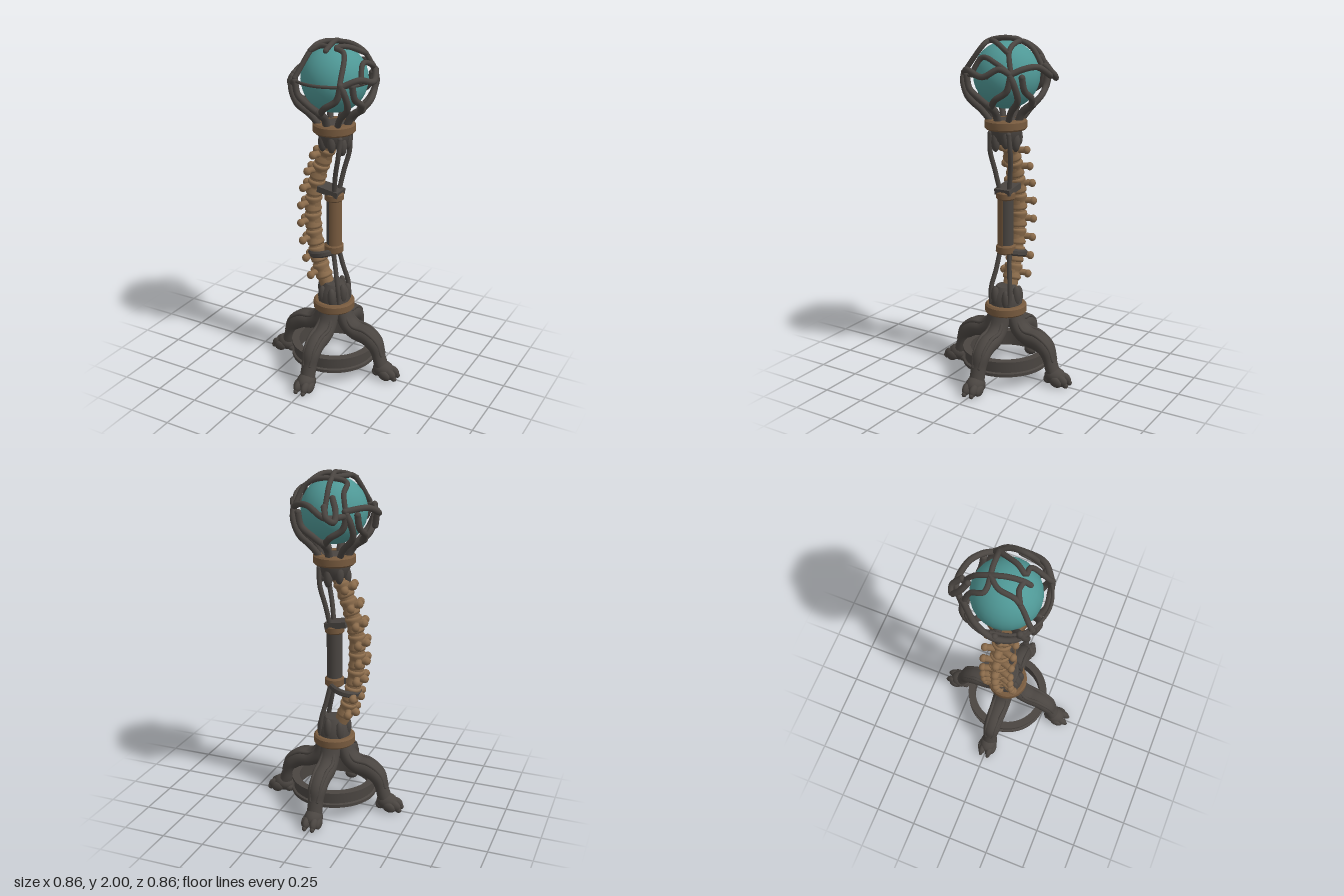
import * as THREE from 'three';
import { toCreasedNormals } from 'three/addons/utils/BufferGeometryUtils.js';

const mat = (name, color) => Object.assign(new THREE.MeshStandardMaterial({ color }), { name });
const V = (x, y, z) => new THREE.Vector3(x, y, z);
const rad = THREE.MathUtils.degToRad;
const ORB_Y = 1.78;

export function createModel() {
  const root = new THREE.Group();
  root.name = 'orbStand';
  const iron = mat('dark iron', 0x4a4541);
  const bone = mat('bone', 0x8a6b4b);
  const leather = mat('leather', 0x775a3e);
  const glass = mat('teal glass', 0x4f9896);

  const add = (parent, name, geo, m, x = 0, y = 0, z = 0) => {
    const mesh = new THREE.Mesh(geo, m);
    mesh.name = name;
    mesh.position.set(x, y, z);
    parent.add(mesh);
    return mesh;
  };
  const group = (name, parent = root) => {
    const g = new THREE.Group();
    g.name = name;
    parent.add(g);
    return g;
  };
  const lathe = (pts, seg = 32) => toCreasedNormals(
    new THREE.LatheGeometry(pts.map(p => new THREE.Vector2(...p)), seg), 0.7);
  // Closed band with rounded outer edges
  const band = (ri, ro, h) => lathe([[ri, -h / 2], [ro - 0.01, -h / 2], [ro, -h / 2 + 0.01],
    [ro, h / 2 - 0.01], [ro - 0.01, h / 2], [ri, h / 2], [ri, -h / 2]]);
  const ball = (parent, name, m, pos, scale) => {
    const b = add(parent, name, new THREE.SphereGeometry(1, 16, 12), m, ...pos);
    b.scale.set(...scale);
    return b;
  };
  // Round rod with rounded ends
  const rod = (parent, name, pts, r, m) => {
    add(parent, name, new THREE.TubeGeometry(new THREE.CatmullRomCurve3(pts), pts.length * 8, r, 9), m);
    for (const p of [pts[0], pts[pts.length - 1]]) ball(parent, name + 'End', m, p.toArray(), [r, r, r]);
  };
  // Sweep of oval sections in the xy plane; rows are [x, y, halfWidth, halfDepth]
  const sweep = (rows, steps = 36, seg = 18) => {
    const path = new THREE.CatmullRomCurve3(rows.map(r => V(r[0], r[1], 0)));
    const size = new THREE.CatmullRomCurve3(rows.map(r => V(r[2], r[3], 0)));
    const pos = [], idx = [], side = V(0, 0, 1);
    for (let i = 0; i <= steps; i++) {
      const u = i / steps, c = path.getPoint(u), s = size.getPoint(u);
      const n = path.getTangent(u).cross(side);
      for (let j = 0; j < seg; j++) {
        const a = j / seg * Math.PI * 2;
        const p = c.clone().addScaledVector(side, s.x * Math.cos(a)).addScaledVector(n, s.y * Math.sin(a));
        pos.push(p.x, p.y, p.z);
        if (i < steps) {
          const k = (j + 1) % seg, A = i * seg, B = A + seg;
          idx.push(A + j, A + k, B + k, A + j, B + k, B + j);
        }
      }
    }
    const g = new THREE.BufferGeometry();
    g.setAttribute('position', new THREE.Float32BufferAttribute(pos, 3));
    g.setIndex(idx);
    g.computeVertexNormals();
    return g;
  };

  // Four clawed legs
  const legGeo = sweep([[0.05, 0.45, 0.05, 0.04], [0.065, 0.37, 0.06, 0.042], [0.095, 0.3, 0.06, 0.05],
    [0.15, 0.26, 0.058, 0.054], [0.22, 0.245, 0.056, 0.056], [0.275, 0.205, 0.054, 0.05],
    [0.3, 0.14, 0.045, 0.038], [0.315, 0.09, 0.045, 0.04], [0.335, 0.045, 0.045, 0.035]]);
  for (let k = 0; k < 4; k++) {
    const leg = group('leg');
    leg.rotation.y = k * Math.PI / 2;
    add(leg, 'legShaft', legGeo, iron);
    ball(leg, 'paw', iron, [0.335, 0.052, 0], [0.065, 0.05, 0.054]);
    ball(leg, 'heel', iron, [0.295, 0.03, 0], [0.03, 0.03, 0.04]);
    for (const s of [-1, 1]) {
      ball(leg, 'innerToe', iron, [0.385, 0.04, s * 0.023], [0.042, 0.033, 0.023]).rotation.z = -0.35;
      ball(leg, 'outerToe', iron, [0.36, 0.034, s * 0.043], [0.04, 0.03, 0.018]).rotation.z = -0.3;
      ball(leg, 'claw', iron, [0.414, 0.019, s * 0.024], [0.018, 0.018, 0.013]);
      rod(leg, 'tendon', [V(0.09, 0.36, s * 0.03), V(0.14, 0.305, s * 0.04), V(0.22, 0.29, s * 0.036),
        V(0.295, 0.235, s * 0.03), V(0.325, 0.15, s * 0.02)], 0.011, iron);
    }
  }
  // Lipped ring tying the legs together
  add(root, 'baseRing', lathe([[0.21, 0.08], [0.255, 0.08], [0.255, 0.098], [0.243, 0.103], [0.243, 0.152],
    [0.255, 0.157], [0.255, 0.172], [0.21, 0.172], [0.21, 0.08]], 48), iron);

  // Collars and the lumpy sockets gripping the column
  add(root, 'lowerCollar', band(0.07, 0.122, 0.058), leather, 0, 0.415, 0);
  add(root, 'upperCollar', band(0.07, 0.12, 0.058), leather, 0, 1.507, 0);
  add(root, 'lowerSocket', lathe([[0, 0.34], [0.09, 0.37], [0.095, 0.45], [0.085, 0.51], [0.055, 0.55], [0, 0.555]]), iron);
  add(root, 'upperSocket', lathe([[0, 1.39], [0.06, 1.395], [0.08, 1.42], [0.092, 1.47], [0.09, 1.53], [0, 1.54]]), iron);
  for (let k = 0; k < 7; k++) {
    const a = k / 7 * Math.PI * 2 + 0.3, x = Math.sin(a), z = Math.cos(a), w = k % 2 * 0.02;
    ball(root, 'lowerSocketLump', iron, [x * 0.078, 0.48 + w, z * 0.078], [0.025, 0.06, 0.025]);
    ball(root, 'upperSocketLump', iron, [x * 0.072, 1.43 - w, z * 0.072], [0.025, 0.055, 0.025]);
  }

  // Curved backbone
  const spine = group('spine');
  const curve = new THREE.CatmullRomCurve3([V(-0.015, 1.43, 0), V(-0.055, 1.34, 0), V(-0.098, 1.22, 0),
    V(-0.128, 1.1, 0), V(-0.138, 0.98, 0), V(-0.133, 0.86, 0), V(-0.113, 0.74, 0), V(-0.08, 0.62, 0), V(-0.035, 0.5, 0)]);
  add(spine, 'spineCore', new THREE.TubeGeometry(curve, 60, 0.043, 14), bone);
  const body = new THREE.LatheGeometry([[0.03, -0.05], [0.053, -0.044], [0.056, -0.03], [0.045, -0.008],
    [0.045, 0.008], [0.056, 0.03], [0.053, 0.044], [0.03, 0.05]].map(p => new THREE.Vector2(...p)), 18);
  for (let i = 0; i < 8; i++) {
    const u = (1.435 - (1.335 - 0.103 * i)) / 0.94;
    const t = curve.getTangentAt(u).negate();
    const v = group('vertebra', spine);
    v.position.copy(curve.getPointAt(u));
    v.rotation.z = Math.atan2(-t.x, t.y);
    add(v, 'vertebraBody', body, bone).scale.x = 0.88;
    rod(v, 'backProcess', [V(-0.02, 0, 0), V(-0.045, 0.002, 0), V(-0.058, 0, 0)], 0.024, bone);
    for (const s of [-1, 1]) {
      rod(v, 'sideProcess', [V(-0.02, 0, s * 0.03), V(-0.03, 0.003, s * 0.06), V(-0.035, 0, s * 0.08)], 0.019, bone);
      ball(v, 'processKnob', bone, [-0.036, 0, s * 0.083], [0.023, 0.024, 0.021]);
    }
  }

  // Splint: iron pipe with a strip of leather on its front left
  const pipe = (from, len, r) => new THREE.CylinderGeometry(r, r, 0.36, 20, 1, false, from, len);
  add(root, 'splintPipe', pipe(0, Math.PI * 2, 0.045), iron, 0, 0.94, 0);
  add(root, 'splintStrip', pipe(rad(-10), rad(110), 0.048), leather, 0, 0.94, 0);
  add(root, 'upperPipeBand', band(0.03, 0.056, 0.05), leather, 0, 1.095, 0);
  add(root, 'lowerPipeBand', band(0.03, 0.056, 0.055), leather, 0, 0.775, 0);
  add(root, 'upperBracket', new THREE.BoxGeometry(0.13, 0.035, 0.1), iron, -0.02, 1.128, 0).rotation.z = -0.16;
  const strap = add(root, 'lowerStrap', band(0.085, 0.1, 0.04), iron, -0.065, 0.742, 0);
  strap.scale.z = 0.9;
  strap.rotation.z = 0.26;
  for (const s of [-1, 1]) {
    rod(root, 'upperStrut', [V(0.07, 1.46, s * 0.06), V(0.062, 1.36, s * 0.066), V(0.035, 1.24, s * 0.05),
      V(0.015, 1.12, s * 0.03)], 0.014, iron);
    rod(root, 'lowerStrut', [V(0.065, 0.45, s * 0.06), V(0.06, 0.54, s * 0.064), V(0.035, 0.65, s * 0.045),
      V(0.01, 0.77, s * 0.03)], 0.014, iron);
  }

  // Orb
  add(root, 'orb', new THREE.SphereGeometry(0.186, 24, 16), glass, 0, ORB_Y, -0.005);

  // Root-like cage: points by azimuth and elevation, or by plan position on the dome
  const cage = group('cage');
  const at = (az, el, r = 0.23) => V(r * Math.cos(rad(el)) * Math.sin(rad(az)),
    ORB_Y + (el > 0 ? 0.203 : 0.225) * Math.sin(rad(el)), r * Math.cos(rad(el)) * Math.cos(rad(az)));
  const dome = (x, z) => V(x, ORB_Y + 0.203 * Math.sqrt(Math.max(0, 1 - (x * x + z * z) / 0.0529)), z);
  for (let k = 0; k < 4; k++) {
    const a = k * 90;
    const foot = d => V(0.075 * Math.sin(rad(a + d)), 1.51, 0.075 * Math.cos(rad(a + d)));
    rod(cage, 'stem', [foot(0), at(a, -62), at(a, -42)], 0.022, iron);
    for (const s of [-1, 1])
      rod(cage, 'fork', [at(a, -46), at(a + s * 14, -30), at(a + s * 32, -16), at(a + s * 37, 3)], 0.018, iron);
    rod(cage, 'sideStem', [foot(40), at(a + 42, -58, 0.26), at(a + 48, -30, 0.25), at(a + 42, -8, 0.24),
      at(a + 37, 5)], 0.018, iron);
  }
  const vines = [
    [[-0.03, -0.225], [-0.025, -0.15], [-0.015, -0.07], [0, 0], [0.012, 0.08], [0.012, 0.115]],
    [[0.18, -0.14], [0.13, -0.1], [0.04, -0.09], [-0.1, -0.08], [-0.11, -0.15], [-0.135, -0.185]],
    [[-0.02, -0.08], [-0.07, -0.02], [-0.085, 0.08], [-0.14, 0.18]],
    [[0.14, -0.1], [0.085, 0.02], [0.05, 0.075], [0.1, 0.08], [0.135, 0.185]],
    [[0.012, 0.08], [-0.04, 0.075], [-0.09, 0.1]],
    [[0.18, -0.14], [0.2, -0.06], [0.19, 0.03], [0.21, 0.09]],
  ];
  for (const v of vines) rod(cage, 'vine', v.map(p => dome(...p)), 0.0145, iron);
  // Belt vines around the sides and back
  const belt = (name, list, r) => rod(cage, name, list.map(p => at(...p)), r, iron);
  belt('rightBelt', [[-37, 3], [-60, -5, 0.24], [-85, 0, 0.245], [-110, 12, 0.24], [-145, 10]], 0.017);
  belt('leftBelt', [[37, 3], [60, 12, 0.245], [90, 4, 0.24], [112, 16, 0.235], [127, 8]], 0.017);
  belt('backBelt', [[127, 8], [145, 16, 0.24], [165, 18, 0.255], [190, 2, 0.26], [217, 3]], 0.017);
  belt('frontBand', [-90, -60, -30, 0, 30, 60, 95].map(a => [a, 3, 0.225]), 0.009);
  rod(cage, 'backCurl', [V(-0.03, 1.84, -0.23), V(-0.06, 1.79, -0.272), V(-0.095, 1.77, -0.26),
    V(-0.09, 1.82, -0.22), V(-0.06, 1.88, -0.185)], 0.017, iron);
  rod(cage, 'sideSpur', [at(-80, -20, 0.24), at(-84, 2, 0.238)], 0.018, iron);
  return root;
}
